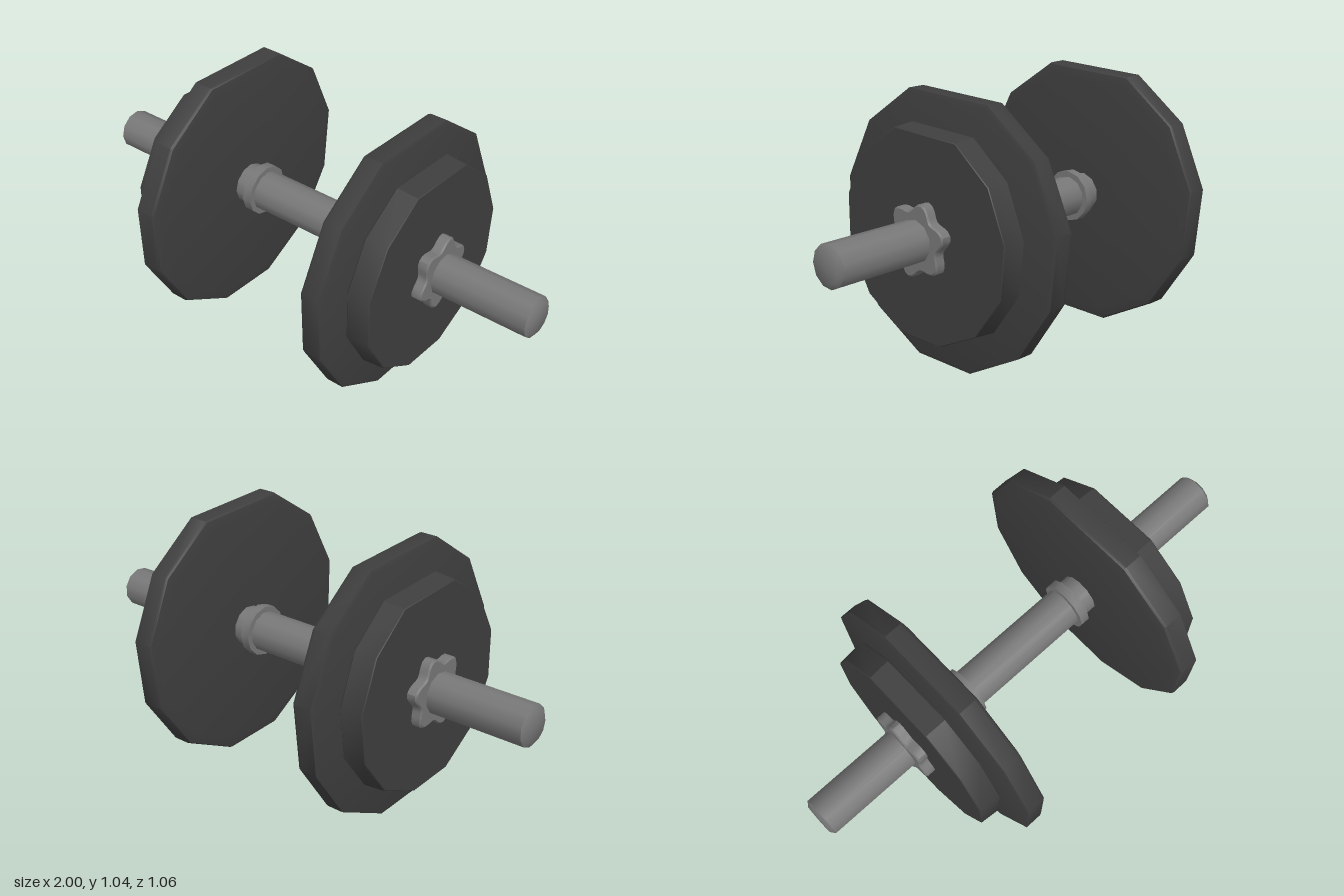
import * as THREE from 'three';
import { toCreasedNormals } from 'three/addons/utils/BufferGeometryUtils.js';

const AXIS_Y = 0.527;

const iron = new THREE.MeshStandardMaterial({ color: 0x3e3e3e });
iron.name = 'dark iron';
const steel = new THREE.MeshStandardMaterial({ color: 0x777777 });
steel.name = 'grey steel';

// Plate outlines as [z, y], clockwise seen from +x
const largeOutline = [
  [0.18, 1.038], [-0.21, 1.02], [-0.425, 0.855], [-0.53, 0.61], [-0.5, 0.34], [-0.35, 0.122],
  [-0.11, 0], [0.16, 0.012], [0.388, 0.15], [0.522, 0.383], [0.53, 0.65], [0.405, 0.887],
];
const smallOutline = [
  [0.133, 0.924], [-0.173, 0.907], [-0.331, 0.774], [-0.407, 0.579], [-0.385, 0.375], [-0.263, 0.21],
  [-0.074, 0.123], [0.133, 0.134], [0.305, 0.245], [0.407, 0.426], [0.407, 0.63], [0.308, 0.81],
];

// Six-lobed star outline for the nut
const starOutline = [];
for (let i = 0; i < 48; i++) {
  const a = -i * Math.PI * 2 / 48;
  const r = 0.128 + 0.018 * Math.cos(6 * (a - 0.24));
  starOutline.push([-r * Math.cos(a), AXIS_Y + r * Math.sin(a)]);
}

// Stacks scaled copies of an outline along x; profile rows are [x, scale]
function loft(outline, profile, side, crease) {
  const n = outline.length, pos = [], index = [];
  for (const [x, s] of profile)
    for (const [z, y] of outline) pos.push(x * side, AXIS_Y + (y - AXIS_Y) * s, z * s);
  for (let i = 0; i < profile.length - 1; i++) {
    for (let j = 0; j < n; j++) {
      const a = i * n + j, b = i * n + (j + 1) % n, c = a + n, d = b + n;
      if (side > 0) index.push(a, c, b, b, c, d);
      else index.push(a, b, c, b, d, c);
    }
  }
  const geo = new THREE.BufferGeometry();
  geo.setAttribute('position', new THREE.Float32BufferAttribute(pos, 3));
  geo.setIndex(index);
  return toCreasedNormals(geo, crease);
}

// Turned part along x; profile rows are [radius, x]
function turned(profile, sides) {
  const geo = new THREE.LatheGeometry(profile.map(([r, x]) => new THREE.Vector2(r, x)), sides);
  geo.rotateZ(-Math.PI / 2);
  geo.translate(0, AXIS_Y, 0);
  return toCreasedNormals(geo, 0.8);
}

export function createModel() {
  const model = new THREE.Group();
  model.name = 'dumbbell';
  const add = (name, geo, mat, parent = model) => {
    const mesh = new THREE.Mesh(geo, mat);
    mesh.name = name;
    parent.add(mesh);
  };

  // Bar with chamfered ends
  add('bar', turned([[0, -1], [0.062, -0.998], [0.081, -0.985], [0.081, 0.985], [0.062, 0.998], [0, 1]], 11), steel);

  for (const side of [1, -1]) {
    const end = new THREE.Group();
    end.name = side > 0 ? 'leftEnd' : 'rightEnd';
    model.add(end);

    // Stop collar
    const [x0, x1] = side > 0 ? [0.252, 0.29] : [-0.29, -0.252];
    add('collar', turned([[0.07, x0], [0.103, x0], [0.103, x1], [0.07, x1]], 12), steel, end);

    // Large plate: softened inner rim, slightly domed outer face
    add('largePlate', loft(largeOutline,
      [[0.343, 0.1], [0.343, 0.92], [0.352, 0.99], [0.362, 1], [0.432, 1], [0.438, 0.97], [0.458, 0.3], [0.458, 0.1]],
      side, 0.6), iron, end);

    // Small plate: rim tapers toward the outer face
    add('smallPlate', loft(smallOutline,
      [[0.458, 0.1], [0.458, 0.985], [0.464, 1], [0.55, 0.982], [0.553, 0.975], [0.553, 0.1]],
      side, 0.6), iron, end);

    // Star nut
    add('starNut', loft(starOutline,
      [[0.55, 0.5], [0.55, 1], [0.588, 1], [0.594, 0.95], [0.594, 0.5]], side, 0.6), steel, end);
  }
  return model;
}
